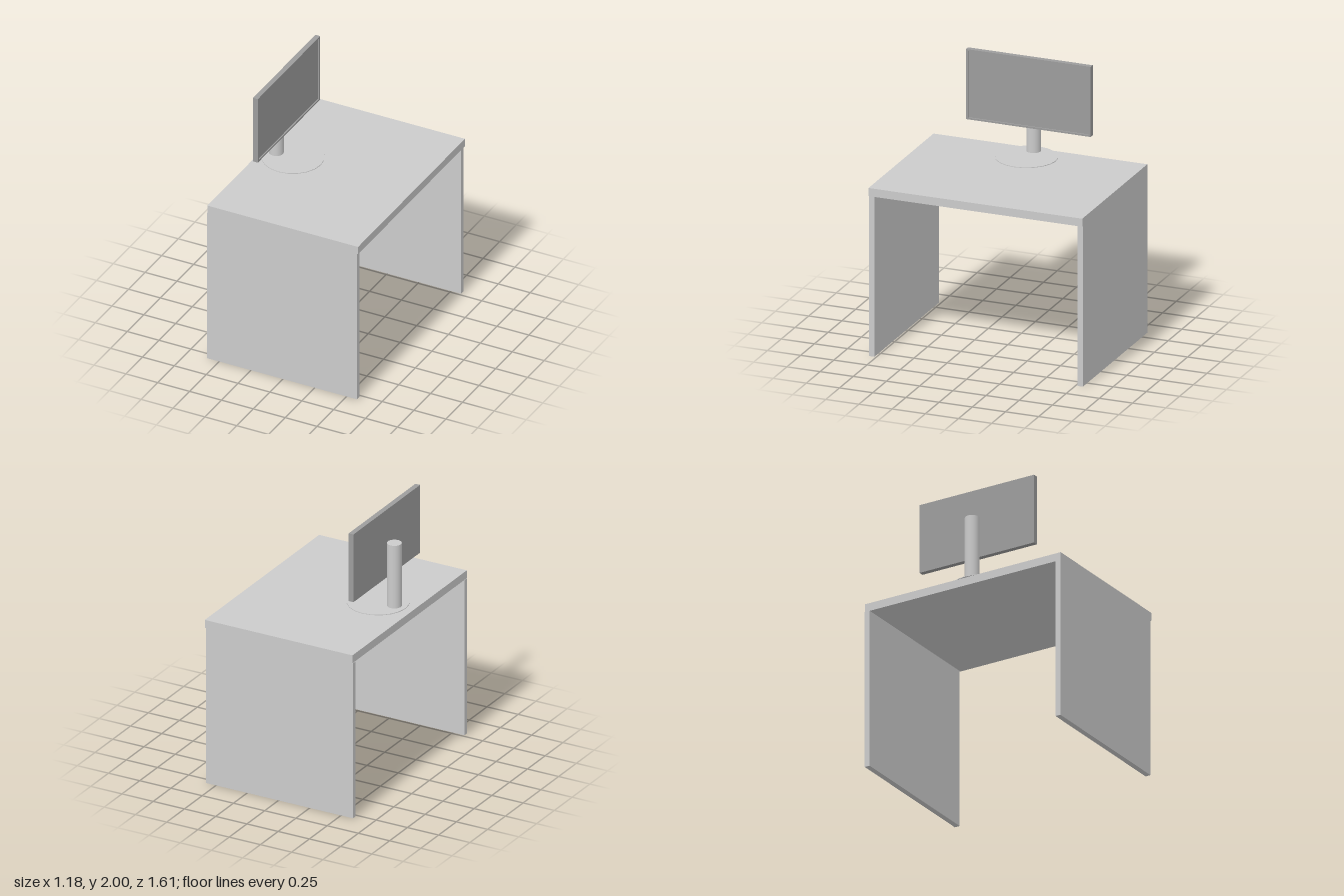
import * as THREE from 'three';

const grey = new THREE.MeshStandardMaterial({ color: 0xcccccc });
const dark = new THREE.MeshStandardMaterial({ color: 0x9d9d9d });

function add(parent, name, geometry, material, x, y, z) {
  const mesh = new THREE.Mesh(geometry, material);
  mesh.name = name;
  mesh.position.set(x, y, z);
  parent.add(mesh);
  return mesh;
}

// Box given by its lower and upper limits on each axis
function addBox(parent, name, material, [x0, x1], [y0, y1], [z0, z1]) {
  const geometry = new THREE.BoxGeometry(x1 - x0, y1 - y0, z1 - z0);
  return add(parent, name, geometry, material, (x0 + x1) / 2, (y0 + y1) / 2, (z0 + z1) / 2);
}

// Rectangle outline centred on the origin
function rectangle(Type, w, h) {
  return new Type([[-w, -h], [w, -h], [w, h], [-w, h]].map(([x, y]) => new THREE.Vector2(x / 2, y / 2)));
}

export function createModel() {
  const model = new THREE.Group();
  model.name = 'deskWithMonitor';

  // Desk: a top slab on two full-depth side panels
  const desk = new THREE.Group();
  desk.name = 'desk';
  model.add(desk);
  addBox(desk, 'deskTop', grey, [-0.592, 0.59], [1.19, 1.25], [-0.805, 0.805]);
  addBox(desk, 'leftPanel', grey, [-0.595, 0.58], [0, 1.19], [0.765, 0.805]);
  addBox(desk, 'rightPanel', grey, [-0.595, 0.58], [0, 1.19], [-0.805, -0.765]);

  // Monitor stand: thin round foot and post
  const monitor = new THREE.Group();
  monitor.name = 'monitor';
  model.add(monitor);
  const foot = new THREE.CylinderGeometry(0.22, 0.22, 0.005, 20);
  foot.rotateY(Math.PI / 2);
  add(monitor, 'standFoot', foot, grey, -0.34, 1.277, 0);
  add(monitor, 'standPost', new THREE.CylinderGeometry(0.052, 0.052, 0.485, 24), grey, -0.47, 1.5175, 0);

  // Display: a raised frame around a recessed screen, facing +x
  const width = 0.94, height = 0.52, depth = 0.038, recess = 0.01;
  const outline = rectangle(THREE.Shape, width, height);
  outline.holes.push(rectangle(THREE.Path, width - 0.036, height - 0.026));
  const frame = new THREE.ExtrudeGeometry(outline, { depth, bevelEnabled: false });
  frame.rotateY(Math.PI / 2);
  add(monitor, 'displayFrame', frame, dark, -0.409, 1.74, 0);
  const screen = new THREE.BoxGeometry(depth - recess, height - 0.026, width - 0.036);
  add(monitor, 'screen', screen, dark, -0.409 + (depth - recess) / 2, 1.74, 0);

  return model;
}
